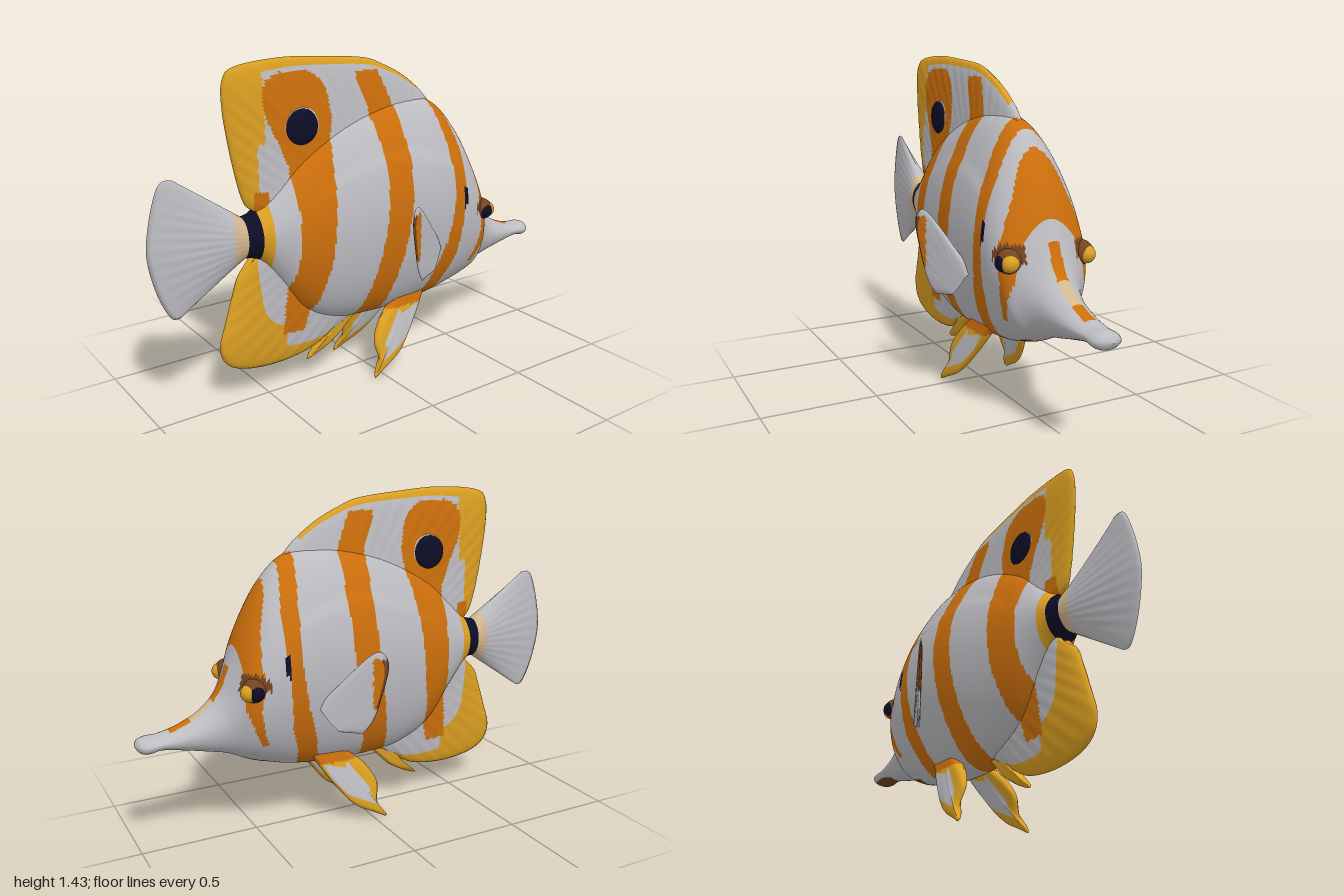
import * as THREE from 'three';

const palette = [
  ['white', 0xbdbcc1], ['orange', 0xcc6f0c], ['yellow', 0xdca022],
  ['black', 0x0d0d28], ['brown', 0x744420], ['cream', 0xd2b78e],
];
const [WHITE, ORANGE, YELLOW, BLACK, BROWN, CREAM] = palette.keys();
const EYE = { x: 0.555, y: 0.68 };

// Smooth or linear lookup in rows of [key, ...values]
function lookup(Interpolant, rows) {
  const size = rows[0].length - 1;
  const f = new Interpolant(rows.map((r) => r[0]), rows.flatMap((r) => r.slice(1)), size);
  return (k) => Array.from(f.evaluate(k));
}

// Body profile: x -> top, bottom, half width
const profile = lookup(THREE.CubicInterpolant, [
  [-0.68, 0.80, 0.65, 0.045], [-0.6, 0.815, 0.64, 0.065], [-0.55, 0.83, 0.63, 0.08],
  [-0.45, 0.93, 0.51, 0.11], [-0.35, 1.03, 0.37, 0.14], [-0.2, 1.12, 0.285, 0.17],
  [0, 1.19, 0.26, 0.2], [0.2, 1.215, 0.265, 0.21], [0.36, 1.18, 0.285, 0.21],
  [0.45, 1.09, 0.31, 0.208], [0.5, 1.01, 0.325, 0.2], [0.56, 0.88, 0.35, 0.18],
  [0.6, 0.77, 0.37, 0.135], [0.64, 0.675, 0.385, 0.105], [0.7, 0.6, 0.4, 0.085],
  [0.8, 0.54, 0.425, 0.07], [0.9, 0.51, 0.445, 0.06], [0.97, 0.505, 0.44, 0.055],
  [0.99, 0.495, 0.455, 0.035], [1, 0.475, 0.474, 0.001],
]);

// Stripes: y -> rear x, front x (limited to a height range)
const stripes = [
  { from: 0.27, to: 1.375, edge: [[0.27, -0.44, -0.34], [0.4, -0.43, -0.3], [0.6, -0.4, -0.26],
    [0.8, -0.39, -0.24], [1.0, -0.4, -0.22], [1.1, -0.44, -0.2], [1.2, -0.49, -0.19],
    [1.3, -0.5, -0.21], [1.35, -0.48, -0.25], [1.375, -0.42, -0.3]] },
  { from: 0, to: 1.35, edge: [[0.27, -0.1, 0.03], [0.4, -0.07, 0.05], [0.6, -0.03, 0.09],
    [0.8, 0, 0.12], [1.0, 0.01, 0.13], [1.2, -0.01, 0.12], [1.34, -0.06, 0.06]] },
  { from: 0, to: 1.2, edge: [[0.3, 0.24, 0.33], [0.5, 0.3, 0.39], [0.6, 0.33, 0.4],
    [0.8, 0.36, 0.42], [1.0, 0.35, 0.42], [1.19, 0.32, 0.38]] },
  { from: 0.44, to: 1.11, edge: [[0.44, 0.49, 0.515], [0.5, 0.51, 0.55], [0.6, 0.53, 0.58],
    [0.7, 0.51, 0.585], [0.76, 0.515, 0.6], [0.8, 0.515, 0.7], [0.9, 0.505, 0.7],
    [1.0, 0.475, 0.7], [1.1, 0.445, 0.7]] },
].map((s) => ({ ...s, edge: lookup(THREE.LinearInterpolant, s.edge) }));

function inStripe({ x, y }) {
  return stripes.some((s) => {
    const [rear, front] = s.edge(y);
    return y > s.from && y < s.to && x > rear && x < front;
  });
}

function bodyColor(p) {
  const { x, y } = p;
  const z = Math.abs(p.z);
  const eyeDistance = Math.hypot(x - EYE.x, y - EYE.y);
  if (x < -0.605) return CREAM;
  if (x < -0.54) return BLACK;
  if (x < -0.5) return YELLOW;
  // Dark gill mark and brow
  if (x > 0.412 && x < 0.428 && y > 0.73 && y < 0.82) return BLACK;
  if (eyeDistance < 0.07 && y > 0.68 && z > 0.11) return BROWN;
  // Underside of snout and chin
  if (x > 0.8 && x < 0.96 && y < profile(x)[1] + 0.012) return BROWN;
  if (x > 0.46 && x < 0.53 && y < 0.36 && z < 0.065) return BROWN;
  // Snout blaze and the pale tongue above it
  if (x > 0.605 && x < 0.86 && z < 0.025 && y > 0.5 && y < 0.75)
    return x > 0.68 && x < 0.77 ? CREAM : ORANGE;
  if (x > 0.5 && z < 0.12 && y > 0.65 && y < 0.84 - 7 * z * z) return WHITE;
  return inStripe(p) ? ORANGE : WHITE;
}

// Grid surface over u, v in 0..1, each cell taking a material from colorAt
function surface(name, materials, nu, nv, pointAt, colorAt) {
  const points = [];
  const buckets = palette.map(() => []);
  for (let i = 0; i <= nu; i++)
    for (let j = 0; j <= nv; j++) points.push(pointAt(i / nu, j / nv));
  const row = nv + 1;
  for (let i = 0; i < nu; i++) {
    for (let j = 0; j < nv; j++) {
      const a = i * row + j, b = a + row, c = b + 1, d = a + 1;
      const mid = points[a].clone().add(points[b]).add(points[c]).add(points[d]).divideScalar(4);
      buckets[colorAt(mid, (i + 0.5) / nu, (j + 0.5) / nv)].push(a, b, c, a, c, d);
    }
  }
  const geometry = new THREE.BufferGeometry().setFromPoints(points);
  geometry.setIndex(buckets.flat());
  let start = 0;
  buckets.forEach((bucket, k) => {
    if (bucket.length) geometry.addGroup(start, bucket.length, k);
    start += bucket.length;
  });
  geometry.computeVertexNormals();
  const mesh = new THREE.Mesh(geometry, materials);
  mesh.name = name;
  return mesh;
}

const spline = (pts) => new THREE.SplineCurve(pts.map(([x, y]) => new THREE.Vector2(x, y)));

// Fin spanned from a base curve to an outer edge, tapering to the rim
function fin(name, materials, o) {
  const base = spline(o.base), edge = spline(o.edge);
  const [n, m] = o.cells;
  const outward = (v) => 1 - Math.abs(2 * v - 1);
  const pointAt = (u, v) => {
    const t = outward(v), side = v <= 0.5 ? 1 : -1;
    const p = base.getPointAt(u).lerp(edge.getPointAt(u), t);
    const round = Math.sqrt(Math.max(0, (1 - t ** 8) * (1 - (2 * u - 1) ** (o.roundness ?? 10))));
    const rays = 1 + 0.05 * t * Math.sin(u * Math.PI * 2 * o.rays);
    const half = THREE.MathUtils.lerp(o.thick[0], o.thick[1], t) * round * rays;
    return new THREE.Vector3(p.x, p.y, side * half + (o.lean ? o.lean(p) : 0));
  };
  return surface(name, materials, n, 2 * m, pointAt, (p, u, v) => o.color(p, outward(v), u));
}

export function createModel() {
  const model = new THREE.Group();
  const materials = palette.map(([name, color]) => {
    const m = new THREE.MeshStandardMaterial({ color });
    m.name = name;
    return m;
  });

  // Body with head and snout, wedged towards the back and stepped in above the flank
  model.add(surface('body', materials, 230, 100, (u, v) => {
    const x = THREE.MathUtils.lerp(-0.68, 1, u), a = (v * 2 - 0.5) * Math.PI;
    const [top, bottom, w] = profile(x);
    const y = (top + bottom) / 2 + (top - bottom) / 2 * Math.sin(a);
    const ridge = 1.0 - 0.9 * (x - 0.08) ** 2;
    const fade = THREE.MathUtils.smoothstep(0.4 - Math.abs(x - 0.02), 0, 0.1);
    const step = 1 - 0.05 * fade * THREE.MathUtils.smoothstep(y, ridge - 0.01, ridge + 0.02);
    const wedge = 1 - 0.22 * Math.max(0, Math.sin(a)) ** 2;
    return new THREE.Vector3(x, y, w * Math.cos(a) * step * wedge);
  }, bodyColor));

  model.add(fin('dorsalFin', materials, {
    base: [[-0.5, 0.78], [-0.4, 0.88], [-0.25, 1.0], [0, 1.1], [0.2, 1.12], [0.34, 1.1]],
    edge: [[-0.54, 0.83], [-0.58, 0.86], [-0.61, 0.95], [-0.64, 1.1], [-0.66, 1.25], [-0.655, 1.36],
      [-0.6, 1.41], [-0.4, 1.43], [-0.2, 1.42], [0, 1.4], [0.1, 1.365], [0.2, 1.315], [0.3, 1.24], [0.38, 1.15]],
    thick: [0.054, 0.02], cells: [140, 40], rays: 22,
    color: (p, t) => {
      if (inStripe(p)) return ORANGE;
      if (p.y < 0.91 && p.x > -0.55 && p.x < -0.49) return ORANGE;
      const rear = p.y > 1.1 ? -0.495 : -0.53;
      return p.x < rear || (t > 0.91 && p.x < 0.28) ? YELLOW : WHITE;
    },
  }));

  model.add(fin('analFin', materials, {
    base: [[-0.02, 0.3], [-0.2, 0.36], [-0.35, 0.48], [-0.47, 0.62], [-0.52, 0.7]],
    edge: [[-0.1, 0.26], [-0.2, 0.2], [-0.3, 0.15], [-0.45, 0.13], [-0.6, 0.145], [-0.69, 0.19],
      [-0.72, 0.27], [-0.69, 0.38], [-0.65, 0.5], [-0.62, 0.57], [-0.55, 0.62]],
    thick: [0.055, 0.018], cells: [90, 30], rays: 14,
    color: (p, t) => (inStripe(p) ? ORANGE : t > (p.x < -0.42 ? 0.42 : 0.7) ? YELLOW : WHITE),
  }));

  model.add(fin('analSpine', materials, {
    base: [[-0.05, 0.28], [-0.1, 0.28], [-0.16, 0.27]],
    edge: [[-0.16, 0.17], [-0.24, 0.125], [-0.31, 0.1], [-0.26, 0.145], [-0.2, 0.2]],
    thick: [0.03, 0.018], cells: [24, 10], rays: 2, color: () => YELLOW,
  }));

  model.add(fin('tailFin', materials, {
    base: [[-0.6, 0.64], [-0.6, 0.725], [-0.6, 0.815]],
    edge: [[-0.88, 0.45], [-0.92, 0.46], [-0.97, 0.57], [-1, 0.72], [-0.985, 0.85],
      [-0.95, 0.97], [-0.92, 1.01], [-0.88, 1.01]],
    thick: [0.065, 0.01], roundness: 2, cells: [60, 22], rays: 12,
    color: (p, t) => (t < 0.14 ? CREAM : WHITE),
  }));

  // Paired fins and eyes
  for (const [side, label] of [[1, 'left'], [-1, 'right']]) {
    model.add(fin(label + 'PectoralFin', materials, {
      base: [[0.21, 0.47], [0.25, 0.52], [0.28, 0.57]],
      edge: [[0.12, 0.46], [0.08, 0.52], [0.05, 0.62], [0.025, 0.75], [0.05, 0.81],
        [0.1, 0.79], [0.2, 0.68], [0.27, 0.6]],
      thick: [0.016, 0.009], cells: [48, 24], rays: 8,
      lean: (p) => side * (0.19 + (0.28 - p.x) * 0.5),
      color: (p, t) => {
        if (p.x > 0.085 || p.y < 0.57 || p.y > 0.785) return WHITE;
        return t > 0.9 ? BROWN : ORANGE;
      },
    }));

    model.add(fin(label + 'PelvicFin', materials, {
      base: [[0.28, 0.34], [0.2, 0.34], [0.12, 0.34]],
      edge: [[0.23, 0.26], [0.16, 0.16], [0.09, 0.08], [0.0, 0.03], [-0.06, 0.003],
        [-0.02, 0.07], [-0.03, 0.16], [0.02, 0.25]],
      thick: [0.03, 0.018], cells: [48, 24], rays: 5,
      lean: (p) => side * (0.085 + (0.3 - p.y) * 0.28),
      color: (p, t, u) => {
        if (p.y > 0.285) return ORANGE;
        return t > 0.25 && t < 0.78 && u > 0.15 && u < 0.75 ? WHITE : YELLOW;
      },
    }));

    const ball = (name, color, radius, x, y, z, depth = 1) => {
      const mesh = new THREE.Mesh(new THREE.SphereGeometry(radius, 28, 20), materials[color]);
      mesh.name = label + name;
      mesh.position.set(x, y, side * z);
      mesh.scale.z = depth;
      model.add(mesh);
    };
    ball('EyeSocket', BROWN, 0.05, EYE.x - 0.005, EYE.y + 0.004, 0.162);
    ball('Iris', YELLOW, 0.036, EYE.x + 0.02, EYE.y, 0.172);
    ball('Pupil', BLACK, 0.036, EYE.x - 0.004, EYE.y, 0.184);

    // False eye on the dorsal fin
    ball('EyespotRim', WHITE, 0.086, -0.325, 1.145, 0.035, 0.2);
    ball('Eyespot', BLACK, 0.074, -0.33, 1.152, 0.042, 0.25);
  }
  return model;
}
